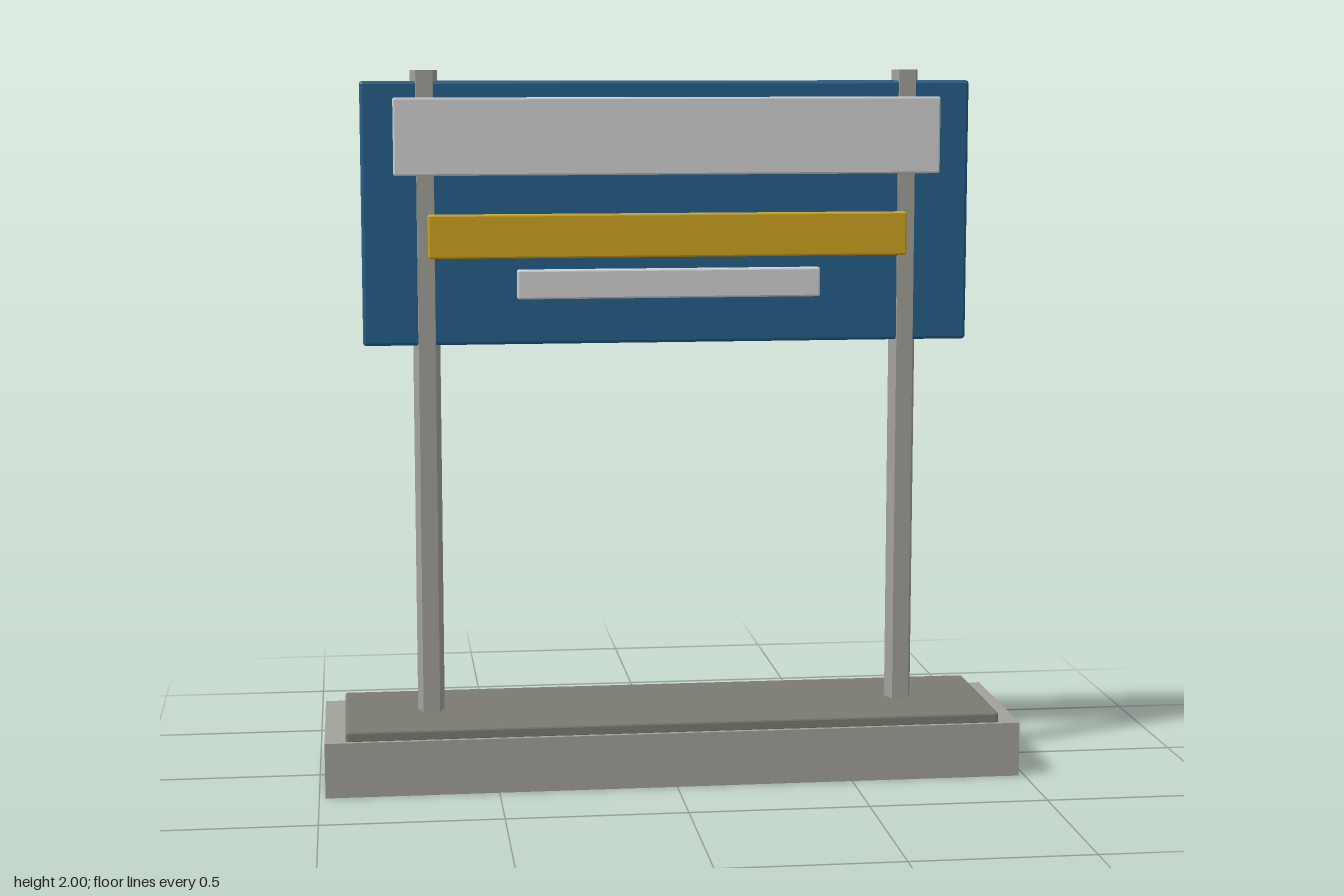
import * as THREE from 'three';
import { RoundedBoxGeometry } from 'three/addons/geometries/RoundedBoxGeometry.js';

export function createModel() {
  const model = new THREE.Group();
  const material = (name, color) => {
    const m = new THREE.MeshStandardMaterial({ color });
    m.name = name;
    return m;
  };
  const concrete = material('light grey', 0xa2a19a);
  const capGrey = material('dark grey', 0x7c7b71);
  const blue = material('blue', 0x24608a);
  const white = material('off white', 0xd4d4d4);
  const gold = material('gold', 0xd0a521);

  const add = (name, geometry, mat, x, y, z) => {
    const mesh = new THREE.Mesh(geometry, mat);
    mesh.name = name;
    mesh.position.set(x, y, z);
    model.add(mesh);
    return mesh;
  };

  // Box with small flat chamfers, placed by its bottom and top heights
  const chamferBox = (name, mat, width, bottom, top, depth, z, bevel) => {
    const geometry = new RoundedBoxGeometry(width, top - bottom, depth, 1, bevel);
    geometry.computeVertexNormals();
    return add(name, geometry, mat, 0, (bottom + top) / 2, z);
  };

  // Base block and its raised cap
  add('base', new THREE.BoxGeometry(1.966, 0.155, 0.49), concrete, 0, 0.0775, 0);
  chamferBox('baseCap', capGrey, 1.85, 0.15, 0.183, 0.464, 0, 0.006);

  // Five-sided posts with a flat side to the front
  for (const [name, side] of [['leftPost', 1], ['rightPost', -1]]) {
    const geometry = new THREE.CylinderGeometry(0.04, 0.04, 1.83, 5).toNonIndexed();
    geometry.computeVertexNormals();
    add(name, geometry, concrete, side * 0.68, 1.085, 0).rotation.y = Math.PI;
  }

  // Main board
  chamferBox('board', blue, 1.716, 1.235, 1.97, 0.058, 0, 0.008);

  // Blank plates standing in front of the board
  const plates = [
    ['upperPlate', white, 1.536, 1.71, 1.925],
    ['middlePlate', gold, 1.35, 1.48, 1.602],
    ['lowerPlate', white, 0.856, 1.365, 1.447],
  ];
  for (const [name, mat, width, bottom, top] of plates) {
    chamferBox(name, mat, width, bottom, top, 0.034, 0.054, 0.005);
  }

  return model;
}
